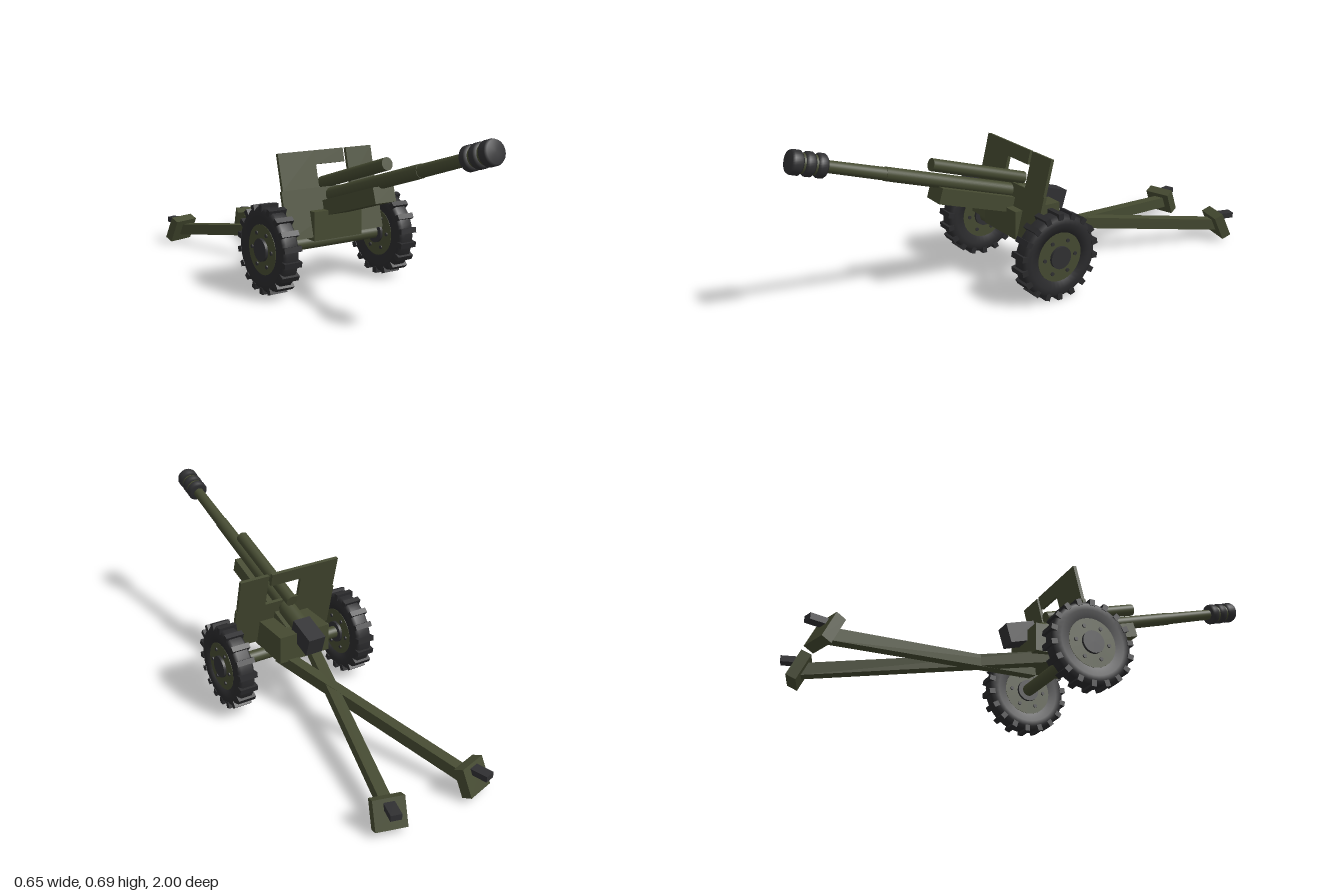
import * as THREE from 'three';

export function createModel() {
  const model = new THREE.Group();
  model.name = 'fieldGun';
  const olive = new THREE.MeshStandardMaterial({ name: 'olive paint', color: 0x454a31 });
  const steel = new THREE.MeshStandardMaterial({ name: 'dark steel', color: 0x303032 });
  const rubber = new THREE.MeshStandardMaterial({ name: 'tyre rubber', color: 0x2a2a2c });

  function add(parent, name, geometry, material, x = 0, y = 0, z = 0) {
    const mesh = new THREE.Mesh(geometry, material);
    mesh.name = name;
    mesh.position.set(x, y, z);
    parent.add(mesh);
    return mesh;
  }
  const box = (parent, name, mat, w, h, d, x, y, z) =>
    add(parent, name, new THREE.BoxGeometry(w, h, d), mat, x, y, z);
  // Cylinder lying along z from z0 (rear) to z1 (front)
  const rod = (parent, name, mat, rRear, rFront, z0, z1, y = 0) =>
    add(parent, name, new THREE.CylinderGeometry(rFront, rRear, z1 - z0, 32).rotateX(Math.PI / 2),
      mat, 0, y, (z0 + z1) / 2);

  // Elevating gun: local z runs along the bore
  const gun = new THREE.Group();
  gun.name = 'gun';
  gun.position.set(0, 0.347, 0);
  gun.rotation.x = -0.3;
  model.add(gun);
  rod(gun, 'barrelRear', olive, 0.03, 0.027, -0.05, 0.66);
  rod(gun, 'barrelFront', olive, 0.025, 0.023, 0.66, 0.9);
  rod(gun, 'breechRing', olive, 0.036, 0.036, -0.055, 0.06);
  rod(gun, 'recuperator', olive, 0.025, 0.025, 0.035, 0.475, 0.058);
  box(gun, 'cradle', olive, 0.098, 0.063, 0.458, 0, -0.05, 0.199);
  box(gun, 'breechBlock', steel, 0.076, 0.082, 0.127, 0, -0.004, -0.1135);

  // Muzzle brake: three rounded drums on a core
  rod(gun, 'muzzleCore', olive, 0.037, 0.037, 0.902, 1.03);
  for (const [z0, z1] of [[0.898, 0.936], [0.944, 0.982], [0.99, 1.035]]) {
    const last = z1 > 1;
    const profile = [[0, z0], [0.038, z0], [0.0455, z0 + 0.008],
      [0.0455, z1 - 0.01], [last ? 0.041 : 0.038, z1], [0, z1]]
      .map(([r, z]) => new THREE.Vector2(r, z));
    add(gun, 'muzzleDrum', new THREE.LatheGeometry(profile, 32).rotateX(Math.PI / 2), steel)
      .material = steel;
  }

  // Shield leaning back, with a sight opening and a slot
  const shield = new THREE.Group();
  shield.name = 'shield';
  shield.position.set(0, 0.215, 0.115);
  shield.rotation.x = -0.245;
  model.add(shield);
  const lean = Math.cos(0.245);
  const plate = (name, x0, x1, y0, y1) =>
    box(shield, name, olive, x1 - x0, (y1 - y0) / lean, 0.014,
      (x0 + x1) / 2, ((y0 + y1) / 2 - 0.215) / lean, 0);
  plate('shieldLower', -0.234, 0.233, 0.215, 0.405);
  plate('shieldUpperRight', -0.228, -0.056, 0.405, 0.55);
  plate('shieldUpperLeft', 0.1, 0.228, 0.405, 0.55);
  plate('shieldTopBar', -0.056, 0.085, 0.495, 0.55);

  // Carriage and axle
  box(model, 'carriageBody', olive, 0.232, 0.118, 0.215, 0, 0.261, 0.022);
  add(model, 'axle', new THREE.CylinderGeometry(0.026, 0.026, 0.52, 24).rotateZ(Math.PI / 2),
    olive, 0, 0.181, 0.055);

  // Wheels
  const drum = (r, w) => new THREE.CylinderGeometry(r, r, w, 32).rotateZ(Math.PI / 2);
  const tyreProfile = [[0.098, -0.03], [0.135, -0.037], [0.158, -0.036], [0.17, -0.024],
    [0.17, 0.024], [0.158, 0.036], [0.135, 0.037], [0.098, 0.03], [0.098, -0.03]]
    .map(([r, x]) => new THREE.Vector2(r, x));
  const lugCount = 18;
  for (const side of [-1, 1]) {
    const wheel = new THREE.Group();
    wheel.name = side > 0 ? 'leftWheel' : 'rightWheel';
    wheel.position.set(side * 0.2825, 0.181, 0.055);
    model.add(wheel);
    add(wheel, 'tyre', new THREE.LatheGeometry(tyreProfile, 40).rotateZ(-Math.PI / 2), rubber);
    add(wheel, 'wheelDisc', drum(0.101, 0.064), olive);
    add(wheel, 'hub', drum(0.046, 0.087), steel);
    for (let i = 0; i < lugCount; i++) {
      const a = (i / lugCount) * Math.PI * 2;
      const lug = box(wheel, 'treadLug', rubber, 0.078, 0.026, 0.022,
        0, Math.cos(a) * 0.167, Math.sin(a) * 0.167);
      lug.rotation.x = a;
    }
    for (let i = 0; i < 6; i++) {
      const a = ((i + 0.5) / 6) * Math.PI * 2;
      add(wheel, 'wheelBolt', new THREE.CylinderGeometry(0.008, 0.008, 0.074, 8).rotateZ(Math.PI / 2),
        steel, 0, Math.cos(a) * 0.072, Math.sin(a) * 0.072);
    }
  }

  // Crossed trail legs, each ending in a spade with a handle
  for (const side of [-1, 1]) {
    const start = new THREE.Vector3(-side * 0.075, 0.195, -0.01);
    const end = new THREE.Vector3(side * 0.182, 0.063, -0.93);
    const leg = box(model, side > 0 ? 'leftTrail' : 'rightTrail', olive,
      0.045, 0.048, start.distanceTo(end), 0, 0, 0);
    leg.position.copy(start).lerp(end, 0.5);
    leg.lookAt(end);

    const foot = new THREE.Group();
    foot.name = side > 0 ? 'leftSpade' : 'rightSpade';
    foot.position.set(side * 0.187, 0.07, -0.925);
    foot.rotation.y = -side * 0.274;
    model.add(foot);
    const blade = box(foot, 'spadePlate', olive, 0.12, 0.112, 0.042, 0, 0, 0);
    blade.rotation.x = 0.43;
    box(foot, 'spadeHandle', steel, 0.042, 0.024, 0.075, 0, 0.035, -0.034);
  }
  return model;
}
